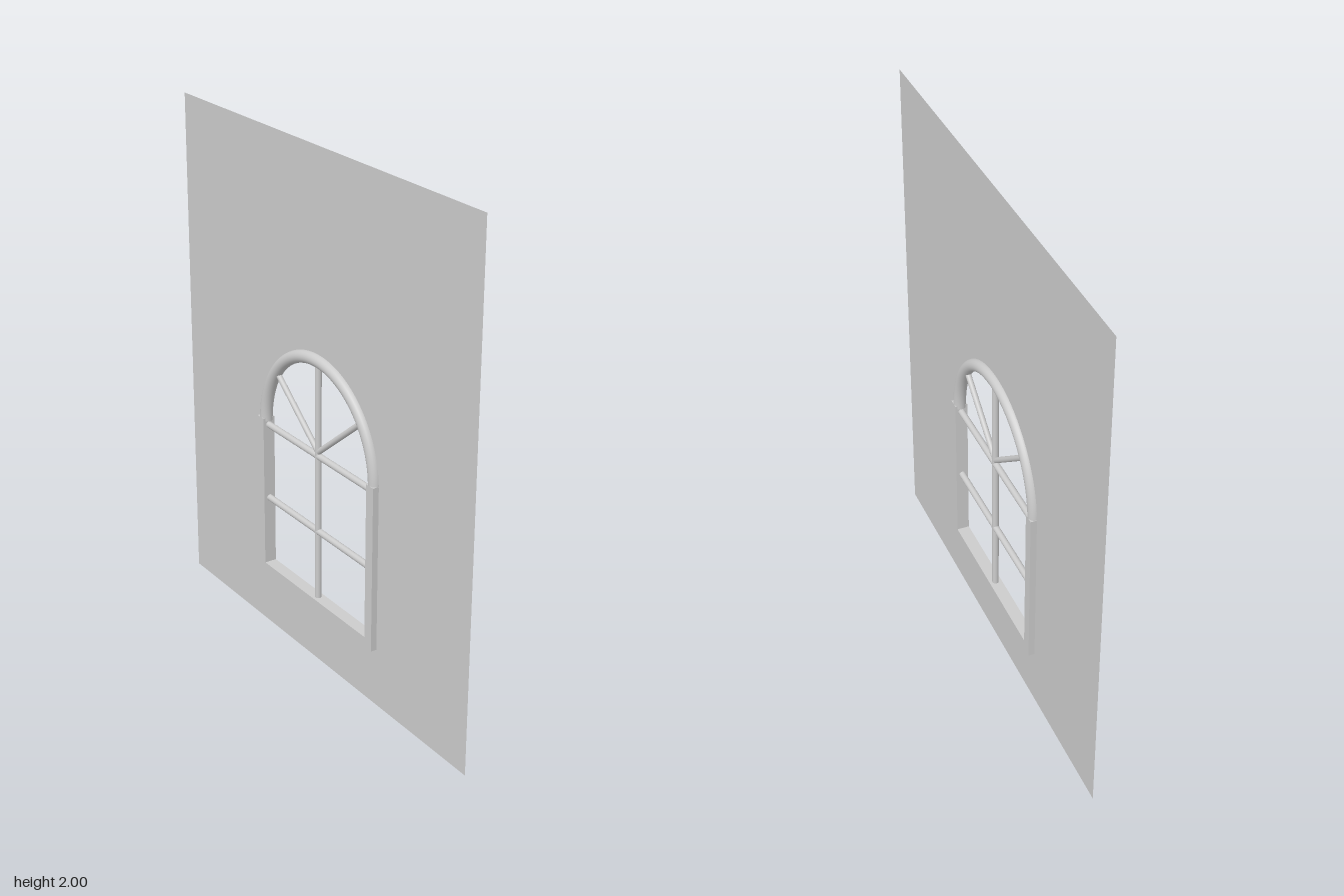
import * as THREE from 'three';

const SPRING = 0.866; // height where the arch begins
const RADIUS = 0.355; // centre line of the arch
const SILL = 0.25;    // centre line of the bottom rail
const DEPTH = 0.048;

export function createModel() {
  const model = new THREE.Group();
  model.name = 'archedWindowWall';
  const material = new THREE.MeshStandardMaterial({ color: 0xcccccc });
  const wallMaterial = new THREE.MeshStandardMaterial({ color: 0xcccccc, side: THREE.DoubleSide });

  // Everything is laid out in the XY plane, then turned to face sideways
  const assembly = new THREE.Group();
  assembly.name = 'windowAssembly';
  assembly.rotation.y = Math.PI / 2;
  model.add(assembly);

  const add = (name, geometry, x = 0, y = 0, mat = material) => {
    const mesh = new THREE.Mesh(geometry, mat);
    mesh.name = name;
    mesh.position.set(x, y, 0);
    assembly.add(mesh);
    return mesh;
  };

  // Round glazing bar between two points
  const bar = (name, x1, y1, x2, y2, r = 0.0125) => {
    const length = Math.hypot(x2 - x1, y2 - y1);
    const mesh = add(name, new THREE.CylinderGeometry(r, r, length, 16), (x1 + x2) / 2, (y1 + y2) / 2);
    mesh.rotation.z = Math.atan2(y2 - y1, x2 - x1) - Math.PI / 2;
  };

  // Sheet wall with an arched opening
  const wall = new THREE.Shape();
  wall.moveTo(-0.91, 0).lineTo(0.91, 0).lineTo(0.91, 2).lineTo(-0.91, 2).closePath();
  const opening = new THREE.Path();
  opening.moveTo(-RADIUS, SILL).lineTo(RADIUS, SILL).lineTo(RADIUS, SPRING);
  opening.absarc(0, SPRING, RADIUS, 0, Math.PI, false).closePath();
  wall.holes.push(opening);
  add('wall', new THREE.ShapeGeometry(wall, 48), 0, 0, wallMaterial);

  // Square lower frame and round arch
  const postBottom = 0.23, postTop = 0.88;
  for (const side of [-1, 1]) {
    add(side < 0 ? 'leftPost' : 'rightPost',
      new THREE.BoxGeometry(0.042, postTop - postBottom, DEPTH),
      side * 0.358, (postTop + postBottom) / 2);
  }
  add('sillRail', new THREE.BoxGeometry(0.68, 0.04, DEPTH), 0, SILL);
  add('arch', new THREE.TorusGeometry(RADIUS, DEPTH / 2, 20, 64, Math.PI), 0, SPRING);

  // Glazing bars
  bar('verticalBar', 0, SILL, 0, SPRING + RADIUS);
  bar('upperCrossBar', -RADIUS, 0.851, RADIUS, 0.851);
  bar('lowerCrossBar', -RADIUS, 0.546, RADIUS, 0.546);
  const angle = THREE.MathUtils.degToRad(38.5);
  for (const side of [-1, 1]) {
    bar(side < 0 ? 'leftFanBar' : 'rightFanBar', 0, SPRING,
      side * RADIUS * Math.cos(angle), SPRING + RADIUS * Math.sin(angle), 0.011);
  }
  return model;
}
